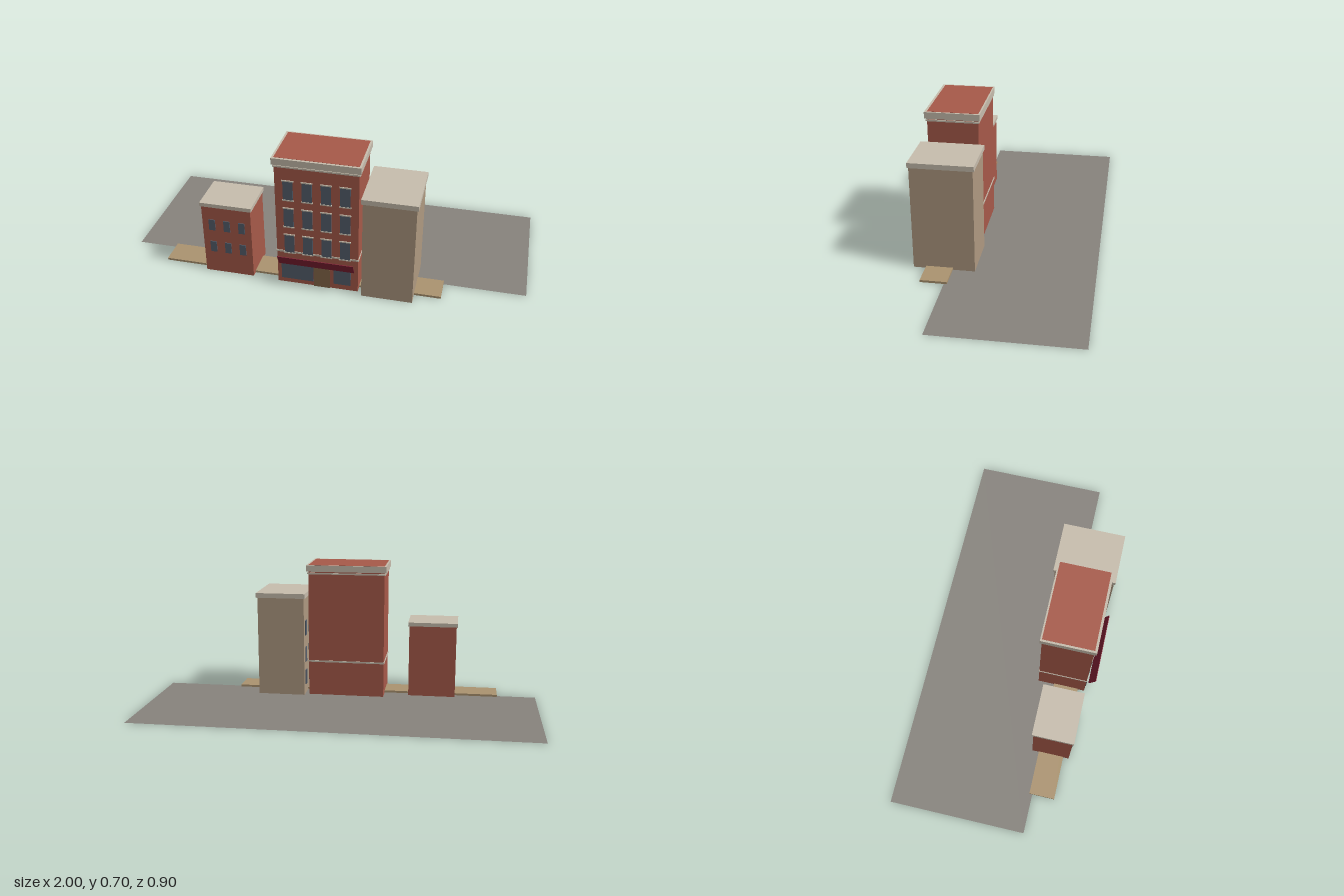
import * as THREE from 'three';

const mat = (color, side = THREE.FrontSide) => new THREE.MeshStandardMaterial({ color, side });
const M = {
  brick: mat(0xa85a4a), tan: mat(0xb09a82), stone: mat(0xc8beae), glass: mat(0x56606e),
  door: mat(0x86684a), awning: mat(0x8a2238), walk: mat(0xac9470),
  road: mat(0x88847e, THREE.DoubleSide),
};

// Box given by its minimum and maximum on each axis
function box(parent, name, material, [x0, x1], [y0, y1], [z0, z1]) {
  const mesh = new THREE.Mesh(new THREE.BoxGeometry(x1 - x0, y1 - y0, z1 - z0), material);
  mesh.position.set((x0 + x1) / 2, (y0 + y1) / 2, (z0 + z1) / 2);
  mesh.name = name;
  parent.add(mesh);
  return mesh;
}

function group(parent, name) {
  const g = new THREE.Group();
  g.name = name;
  parent.add(g);
  return g;
}

export function createModel() {
  const model = new THREE.Group();
  model.name = 'streetBlock';

  // Road and pavement
  const road = new THREE.Mesh(new THREE.PlaneGeometry(2, 0.7), M.road);
  road.rotation.x = -Math.PI / 2;
  road.position.set(0, 0, -0.1);
  road.name = 'road';
  model.add(road);
  box(model, 'pavement', M.walk, [-0.8, 0.6], [0, 0.011], [0.235, 0.365]);

  // Main building with stone bands and cornice
  const main = group(model, 'mainBuilding');
  box(main, 'mainWalls', M.brick, [-0.2, 0.2], [0, 0.7], [0.15, 0.4]);
  box(main, 'cornice', M.stone, [-0.21, 0.21], [0.666, 0.6993], [0.142, 0.412]);
  box(main, 'corniceBand', M.stone, [-0.206, 0.206], [0.652, 0.66], [0.146, 0.406]);
  box(main, 'shopBand', M.stone, [-0.203, 0.203], [0.18, 0.189], [0.147, 0.403]);

  // Upper windows, each with lintel and sill
  const upper = group(main, 'upperWindows');
  for (const y of [0.183, 0.332, 0.481]) {
    for (const x of [-0.1365, -0.0455, 0.0455, 0.1365]) {
      box(upper, 'window', M.glass, [x - 0.024, x + 0.024], [y, y + 0.098], [0.395, 0.404]);
      box(upper, 'lintel', M.stone, [x - 0.028, x + 0.028], [y + 0.098, y + 0.104], [0.395, 0.405]);
      box(upper, 'sill', M.stone, [x - 0.028, x + 0.028], [y - 0.006, y], [0.395, 0.406]);
    }
  }

  // Shop front
  const shop = group(main, 'shopFront');
  box(shop, 'leftShopWindow', M.glass, [-0.18, -0.02], [0.025, 0.125], [0.395, 0.404]);
  box(shop, 'rightShopWindow', M.glass, [0.08, 0.165], [0.03, 0.125], [0.395, 0.404]);
  box(shop, 'door', M.door, [-0.018, 0.062], [0, 0.125], [0.395, 0.405]);
  const awning = box(shop, 'awning', M.awning, [-0.188, 0.184], [0.115, 0.185], [0.4285, 0.4315]);
  awning.rotation.x = 0.5;

  // Small brick building
  const small = group(model, 'smallBuilding');
  box(small, 'smallWalls', M.brick, [-0.577, -0.33], [0, 0.399], [0.2, 0.394]);
  box(small, 'smallCornice', M.stone, [-0.583, -0.324], [0.38, 0.4], [0.193, 0.4]);
  for (const y of [0.12, 0.247]) {
    for (const x of [-0.528, -0.453, -0.378]) {
      box(small, 'smallWindow', M.glass, [x - 0.016, x + 0.016], [y, y + 0.06], [0.39, 0.398]);
    }
  }

  // Tan building, windows on the side facing the main building
  const side = group(model, 'tanBuilding');
  box(side, 'tanWalls', M.tan, [0.222, 0.47], [0, 0.549], [0.127, 0.427]);
  box(side, 'tanCornice', M.stone, [0.215, 0.477], [0.525, 0.55], [0.12, 0.433]);
  for (const y of [0.05, 0.175, 0.32]) {
    for (const z of [0.177, 0.277, 0.377]) {
      box(side, 'sideWindow', M.glass, [0.218, 0.23], [y, y + 0.08], [z - 0.016, z + 0.016]);
    }
  }
  return model;
}
